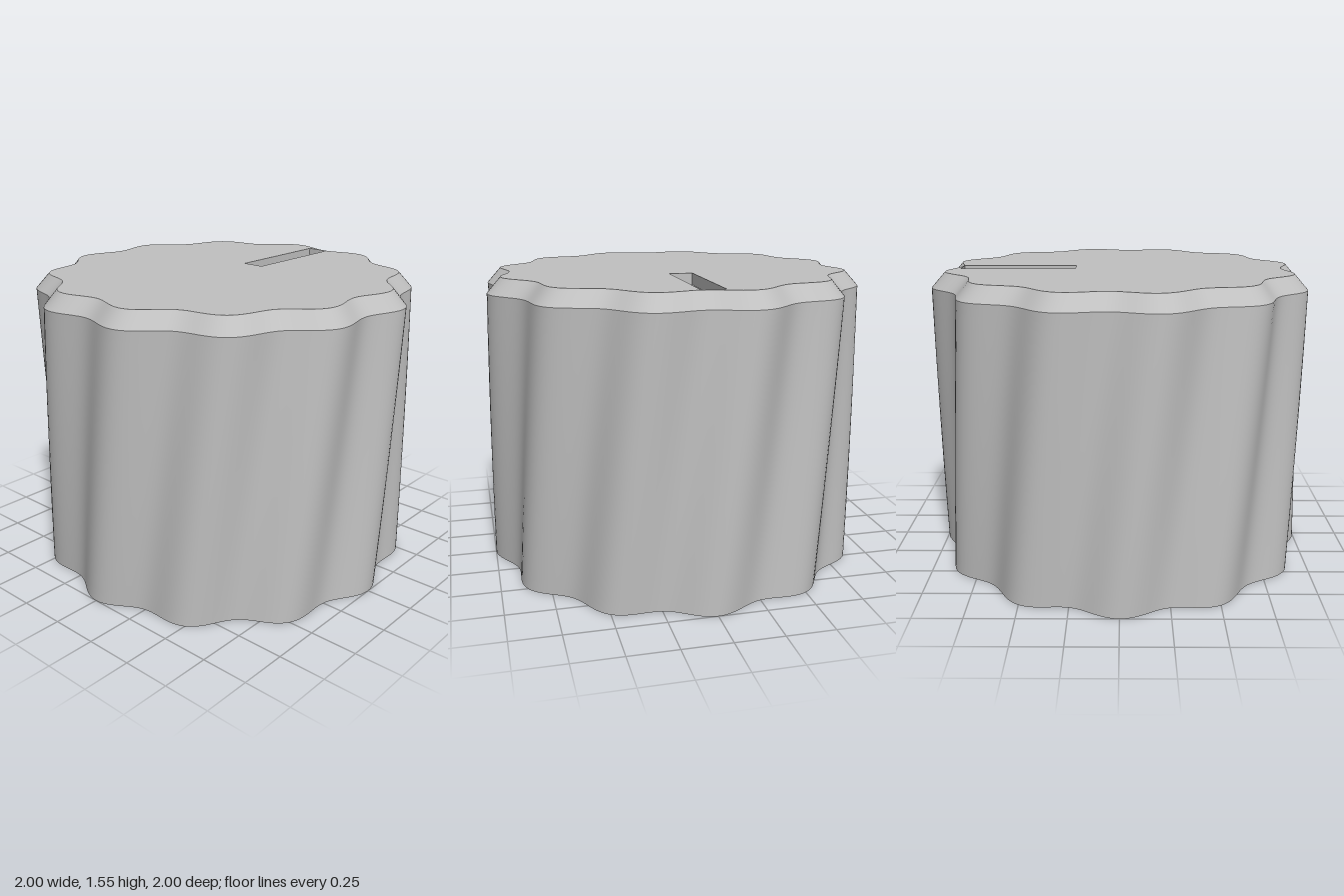
import * as THREE from 'three';
import { toCreasedNormals } from 'three/addons/utils/BufferGeometryUtils.js';

const SHOULDER = 1.47, TOP = 1.55, TWIST = THREE.MathUtils.degToRad(12);
const LOBES = 12, SEGMENTS = 240;

// Outlines are (x, z) points running counter-clockwise seen from above.
const polar = (r, a) => new THREE.Vector2(r * Math.sin(a), r * Math.cos(a));

function arc(radius, from = 0, to = Math.PI * 2, n = 96) {
  const closed = to - from > 6.28;
  return Array.from({ length: n }, (_, i) => polar(radius, from + (to - from) * i / (closed ? n : n - 1)));
}

function lobed(turn, inset = 0) {
  return Array.from({ length: SEGMENTS }, (_, i) => {
    const a = i / SEGMENTS * Math.PI * 2;
    return polar(0.963 + 0.037 * Math.cos(LOBES * a) - inset, a + turn);
  });
}

// Wall through stacked outlines; listing them from the top down makes it face inward.
function wall(rings) {
  const n = rings[0].points.length, position = [], index = [];
  rings.forEach(({ points, y }) => points.forEach(p => position.push(p.x, y, p.y)));
  for (let r = 0; r < rings.length - 1; r++) {
    for (let i = 0; i < n; i++) {
      const a = r * n + i, b = r * n + (i + 1) % n;
      index.push(a, b, b + n, a, b + n, a + n);
    }
  }
  const g = new THREE.BufferGeometry();
  g.setAttribute('position', new THREE.Float32BufferAttribute(position, 3));
  g.setIndex(index);
  return toCreasedNormals(g, 0.6);
}

// Flat face at height y, facing up or down, with an optional hole.
function face(outline, y, up, hole) {
  const s = up ? -1 : 1;
  const flip = pts => pts.map(p => new THREE.Vector2(p.x, s * p.y));
  const shape = new THREE.Shape(flip(outline));
  if (hole) shape.holes.push(new THREE.Path(flip(hole)));
  return new THREE.ShapeGeometry(shape).rotateX(s * Math.PI / 2).translate(0, y, 0);
}

export function createModel() {
  const group = new THREE.Group();
  const grey = new THREE.MeshStandardMaterial({ color: 0xc0c0c0 });
  grey.name = 'grey';
  const add = (name, geometry) => {
    const mesh = new THREE.Mesh(geometry, grey);
    mesh.name = name;
    group.add(mesh);
  };

  // Twisted grip with a chamfered rim
  const rings = [];
  const steps = 20;
  for (let i = 0; i <= steps; i++) {
    rings.push({ points: lobed(TWIST * i / steps), y: SHOULDER * i / steps });
  }
  const rim = lobed(TWIST, 0.072);
  add('grip', wall(rings));
  add('chamfer', wall([rings[steps], { points: rim, y: TOP }]));

  // Top face with the pointer slot
  const slot = [[0.06, -0.24], [0.06, -0.85], [-0.06, -0.85], [-0.06, -0.24]]
    .map(([x, z]) => new THREE.Vector2(x, z));
  const slotFloor = TOP - 0.06;
  add('topFace', face(rim, TOP, true, slot));
  add('pointerSlotWalls', wall([{ points: slot, y: TOP }, { points: slot, y: slotFloor }]));
  add('pointerSlotFloor', face(slot, slotFloor, true));

  // Underside with a round recess
  const recess = arc(0.61), recessTop = 0.39;
  add('underside', face(rings[0].points, 0, false, recess));
  add('recessWall', wall([{ points: recess, y: recessTop }, { points: recess, y: 0 }]));

  // D-shaped shaft hole, flat towards the front
  const start = Math.acos(0.13 / 0.295);
  const shaft = arc(0.295, start, Math.PI * 2 - start, 64), shaftTop = 1.2;
  add('recessCeiling', face(recess, recessTop, false, shaft));
  add('shaftHoleWall', wall([{ points: shaft, y: shaftTop }, { points: shaft, y: recessTop }]));
  add('shaftHoleEnd', face(shaft, shaftTop, false));

  return group;
}
